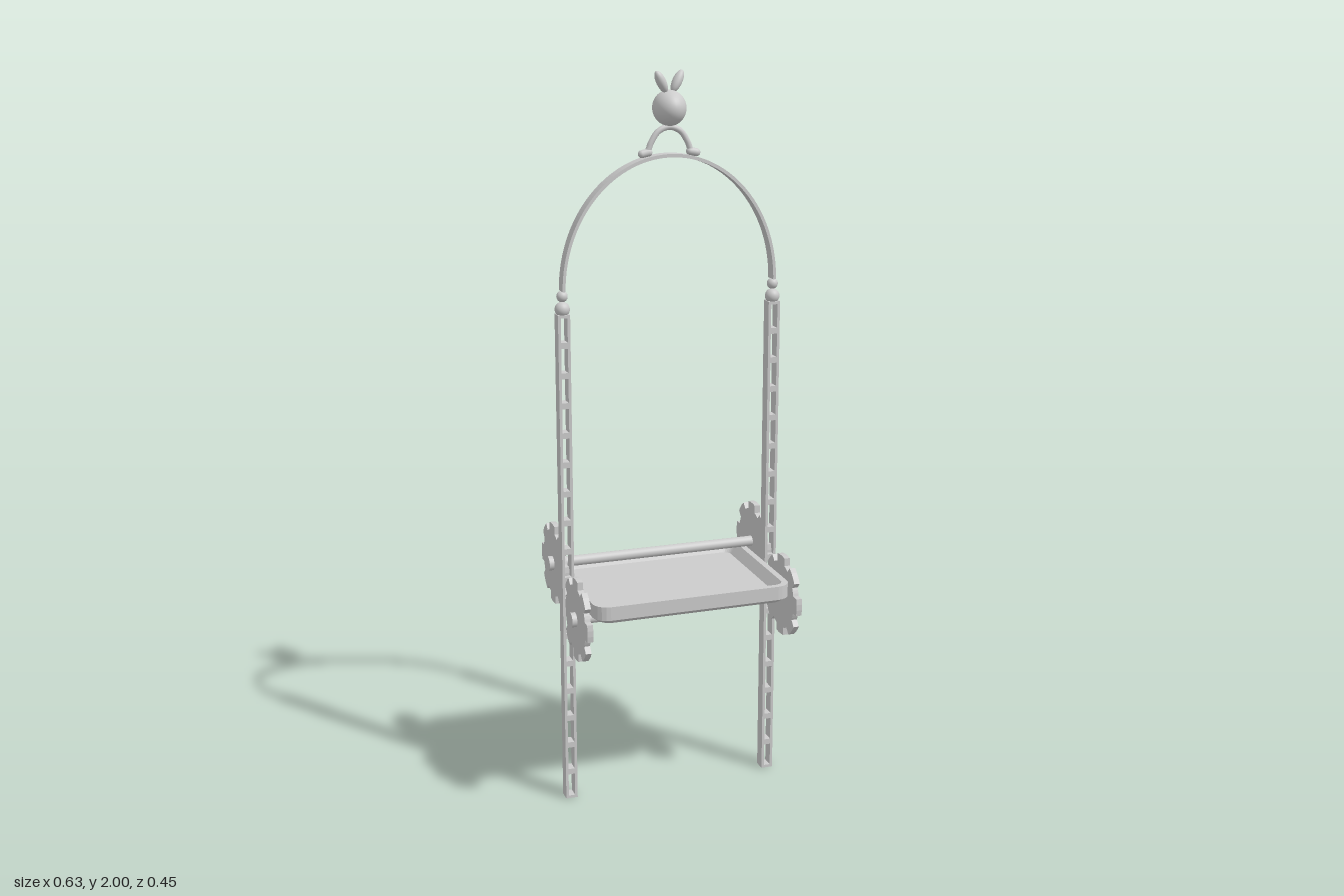
import * as THREE from 'three';

const material = new THREE.MeshStandardMaterial({ color: 0xcccccc, side: THREE.DoubleSide });
const POST_X = 0.295;

function add(parent, name, geometry, x = 0, y = 0, z = 0) {
  const mesh = new THREE.Mesh(geometry, material);
  mesh.name = name;
  mesh.position.set(x, y, z);
  parent.add(mesh);
  return mesh;
}

// Ladder-like post: a bar pierced front to back by a column of slots
function postGeometry() {
  const height = 1.38, half = 0.0165, count = 17, pitch = height / count;
  const shape = new THREE.Shape();
  shape.moveTo(-half, 0).lineTo(half, 0).lineTo(half, height).lineTo(-half, height).closePath();
  for (let i = 0; i < count; i++) {
    const low = i * pitch + 0.008, high = (i + 1) * pitch - 0.008;
    const slot = new THREE.Path();
    slot.moveTo(-0.009, low).lineTo(-0.009, high).lineTo(0.009, high).lineTo(0.009, low).closePath();
    shape.holes.push(slot);
  }
  const g = new THREE.ExtrudeGeometry(shape, { depth: 0.034, bevelEnabled: false });
  return g.translate(0, 0, -0.017);
}

// Gear with broad teeth and scooped notches, lying in the yz plane
function gearGeometry() {
  const teeth = 8, outer = 0.115, inner = 0.094, step = (Math.PI * 2) / teeth;
  const points = [];
  const polar = (r, a) => points.push(new THREE.Vector2(r * Math.cos(a), r * Math.sin(a)));
  for (let i = 0; i < teeth; i++) {
    const a = i * step;
    for (const t of [-0.27, -0.09, 0.09, 0.27]) polar(outer, a + t * step);
    for (const t of [0.34, 0.44, 0.56, 0.66]) polar(inner, a + t * step);
  }
  const g = new THREE.ExtrudeGeometry(new THREE.Shape(points), { depth: 0.016, bevelEnabled: false });
  return g.translate(0, 0, -0.008).rotateY(Math.PI / 2);
}

// Outline of a rounded rectangle as a list of [x, z]
function roundedLoop(hx, hz, r) {
  const loop = [];
  for (let c = 0; c < 4; c++) {
    const sx = c === 0 || c === 3 ? 1 : -1, sz = c < 2 ? 1 : -1;
    for (let k = 0; k <= 5; k++) {
      const a = (c + k / 5) * Math.PI / 2;
      loop.push([sx * (hx - r) + r * Math.cos(a), sz * (hz - r) + r * Math.sin(a)]);
    }
  }
  return loop;
}

// Tray skin: stacked rounded outlines from underside to rim to recessed floor
function trayGeometry() {
  const sections = [
    [0.002, 0.002, 0.001, 0], [0.262, 0.196, 0.035, 0], [0.277, 0.211, 0.04, 0.012],
    [0.277, 0.211, 0.04, 0.05], [0.26, 0.194, 0.026, 0.05],
    [0.24, 0.178, 0.018, 0.022], [0.002, 0.002, 0.001, 0.022],
  ];
  const positions = [], index = [], n = 24;
  for (const [hx, hz, r, y] of sections)
    for (const [x, z] of roundedLoop(hx, hz, r)) positions.push(x, y, z);
  for (let s = 0; s < sections.length - 1; s++)
    for (let i = 0; i < n; i++) {
      const a = s * n + i, b = s * n + (i + 1) % n;
      index.push(a, a + n, b, b, a + n, b + n);
    }
  const indexed = new THREE.BufferGeometry();
  indexed.setAttribute('position', new THREE.Float32BufferAttribute(positions, 3));
  indexed.setIndex(index);
  const g = indexed.toNonIndexed();
  g.computeVertexNormals();
  return g;
}

// Flat strap bent into a half ellipse
function archGeometry() {
  const shape = new THREE.Shape();
  shape.absellipse(0, 0, 0.298, 0.345, 0, Math.PI, false, 0);
  shape.lineTo(-0.29, 0);
  shape.absellipse(0, 0, 0.29, 0.336, Math.PI, 0, true, 0);
  shape.closePath();
  const g = new THREE.ExtrudeGeometry(shape, { depth: 0.036, bevelEnabled: false, curveSegments: 48 });
  return g.translate(0, 0, -0.018);
}

export function createModel() {
  const model = new THREE.Group();
  model.name = 'trayStand';

  // Posts, finials and gears, mirrored left and right
  const post = postGeometry(), gear = gearGeometry();
  const axles = [{ name: 'front', y: 0.572, z: 0.112 }, { name: 'back', y: 0.657, z: -0.112 }];
  for (const side of [1, -1]) {
    const x = side * POST_X;
    const label = side > 0 ? 'left' : 'right';
    add(model, label + 'Post', post, x);
    add(model, label + 'LowerBead', new THREE.SphereGeometry(0.02, 20, 14), x, 1.393);
    add(model, label + 'UpperBead', new THREE.SphereGeometry(0.015, 20, 14), x, 1.427);
    for (const { name, y, z } of axles) {
      add(model, label + name + 'Gear', gear, x + side * 0.001, y, z);
      const cap = new THREE.CylinderGeometry(0.02, 0.02, 0.015, 24).rotateZ(Math.PI / 2);
      add(model, label + name + 'AxleCap', cap, side * 0.31, y, z);
    }
  }

  // Cross rods joining each pair of gears
  for (const { name, y, z } of axles)
    add(model, name + 'Rod', new THREE.CylinderGeometry(0.0145, 0.0145, 0.61, 24).rotateZ(Math.PI / 2), 0, y, z);

  add(model, 'tray', trayGeometry(), 0, 0.588, 0.01);
  add(model, 'arch', archGeometry(), 0, 1.441);

  // Small looped handle with rounded feet
  const path = new THREE.CatmullRomCurve3([
    [-0.075, 1.788], [-0.06, 1.793], [-0.05, 1.815], [-0.03, 1.843], [0, 1.854],
    [0.03, 1.843], [0.05, 1.815], [0.06, 1.793], [0.075, 1.788],
  ].map(([x, y]) => new THREE.Vector3(x, y, 0)));
  add(model, 'handle', new THREE.TubeGeometry(path, 40, 0.008, 12));
  for (const side of [1, -1]) {
    const foot = new THREE.CapsuleGeometry(0.0105, 0.018, 6, 14).rotateZ(Math.PI / 2 - side * 0.2);
    add(model, 'handleFoot', foot, side * 0.066, 1.788);
  }

  // Egg-shaped knob with two small ears
  add(model, 'knob', new THREE.SphereGeometry(1, 32, 20).scale(0.043, 0.046, 0.056), 0, 1.902);
  for (const side of [1, -1]) {
    const ear = add(model, 'ear', new THREE.SphereGeometry(1, 20, 14).scale(0.013, 0.032, 0.015),
      side * 0.026, 1.969, -side * 0.012);
    ear.rotation.set(-side * 0.2, 0, -side * 0.5);
  }
  return model;
}
